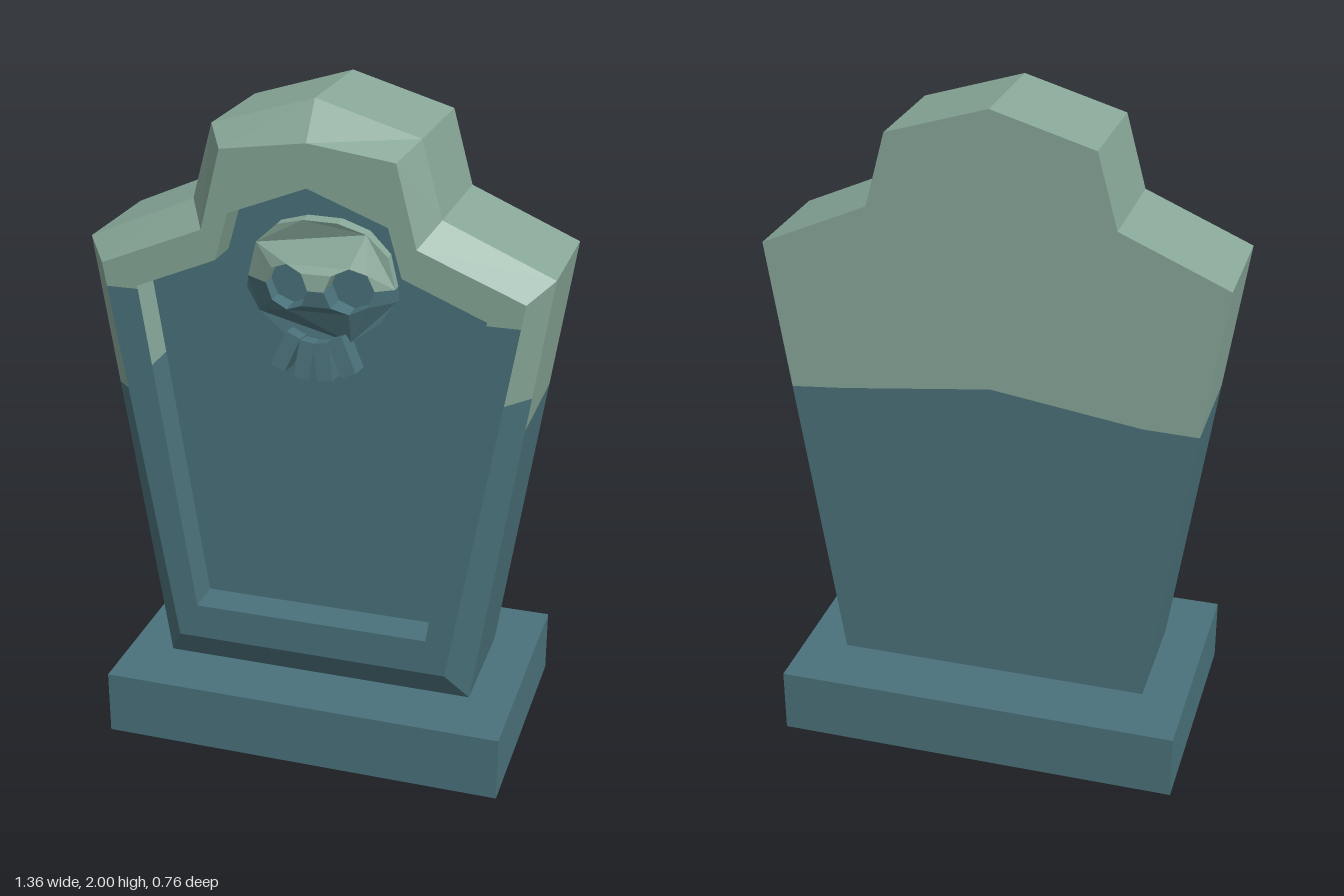
import * as THREE from 'three';

const stone = new THREE.MeshStandardMaterial({ color: 0x4b727b });
stone.name = 'slate stone';
const moss = new THREE.MeshStandardMaterial({ color: 0x88a899 });
moss.name = 'pale moss';

// Right half outlines, bottom to top, of the slab, its front rim and the sunken panel
const OUTER = [[0.48, 0.2], [0.68, 1.55], [0.36, 1.69], [0.3, 1.91], [0, 2]];
const RIM = [[0.42, 0.31], [0.615, 1.5], [0.31, 1.625], [0.25, 1.86], [0, 1.895]];
const INNER = [[0.36, 0.42], [0.51, 1.44], [0.27, 1.54], [0.23, 1.68], [0, 1.77]];

// Point on the slanted side edge of an outline at height y
function sideAt(half, y) {
  const [[x0, y0], [x1, y1]] = half;
  return [x0 + ((x1 - x0) * (y - y0)) / (y1 - y0), y];
}

// Closed mirrored loop at depth z, split on each side where the moss begins
function loop(half, z, splitR, splitL = splitR) {
  const right = [half[0], sideAt(half, splitR), ...half.slice(1)];
  const left = [half[0], sideAt(half, splitL), ...half.slice(1, -1)];
  const all = [...right, ...left.reverse().map(([x, y]) => [-x, y])];
  return all.map(([x, y]) => [x, y, z]);
}

function addMesh(group, name, geometry, material) {
  const mesh = new THREE.Mesh(geometry, material);
  mesh.name = name;
  group.add(mesh);
  return mesh;
}

// Band of quads between two loops: stone low down, moss above the splits
function addBand(group, name, a, b) {
  const parts = { stone: [], moss: [] };
  const n = a.length;
  for (let i = 0; i < n; i++) {
    const j = (i + 1) % n;
    const target = i === 0 || i >= n - 2 ? parts.stone : parts.moss;
    for (const p of [a[i], a[j], b[j], a[i], b[j], b[i]]) target.push(...p);
  }
  for (const [key, material] of [['stone', stone], ['moss', moss]]) {
    const g = new THREE.BufferGeometry();
    g.setAttribute('position', new THREE.Float32BufferAttribute(parts[key], 3));
    g.computeVertexNormals();
    addMesh(group, name + (key === 'moss' ? 'Moss' : ''), g, material);
  }
}

const toShape = (pts) => new THREE.Shape(pts.map(([x, y]) => new THREE.Vector2(x, y)));
const mirrored = (half) => [...half, ...half.slice(0, -1).reverse().map(([x, y]) => [-x, y])];

function createSlab() {
  const slab = new THREE.Group();
  slab.name = 'slab';
  addBand(slab, 'edge', loop(OUTER, -0.18, 1.1), loop(OUTER, 0.18, 1.1));
  addBand(slab, 'bevel', loop(OUTER, 0.18, 1.2, 1.1), loop(RIM, 0.26, 1.2, 1.12));
  addBand(slab, 'rim', loop(RIM, 0.26, 1.43), loop(INNER, 0.26, 1.43));
  addBand(slab, 'recessWall', loop(INNER, 0.26, 1.2), loop(INNER, 0.15, 1.2));

  const panel = addMesh(slab, 'panel', new THREE.ShapeGeometry(toShape(mirrored(INNER))), stone);
  panel.position.z = 0.15;

  // Back face, split along the wavy moss line
  const wave = [sideAt(OUTER, 1.1), [0.45, 1.115], [0, 1.17], [-0.45, 1.105]];
  const end = [-wave[0][0], 1.1];
  const lower = [OUTER[0], ...wave, end, [-OUTER[0][0], OUTER[0][1]]];
  const upper = [...mirrored(OUTER.slice(1)), end, ...wave.slice().reverse()];
  for (const [name, pts, material] of [['back', lower, stone], ['backMoss', upper, moss]]) {
    const flipped = pts.map(([x, y]) => [-x, y]);
    const mesh = addMesh(slab, name, new THREE.ShapeGeometry(toShape(flipped)), material);
    mesh.rotation.y = Math.PI;
    mesh.position.z = -0.18;
  }
  return slab;
}

// Half an octagonal eye socket, from its right corner to its left
const EYES = [0.115, -0.065];
const EYE_Y = 1.478;
function socket(cx, dir) {
  return [0, 1, 2, 3, 4].map((i) => {
    const a = ((dir * i) / 4) * Math.PI;
    return [cx + 0.067 * Math.cos(a), EYE_Y + 0.067 * Math.sin(a)];
  });
}

// Extruded relief whose front vertices follow a shallow dome
function relief(pts) {
  const g = new THREE.ExtrudeGeometry(toShape(pts), { depth: 1, bevelEnabled: false });
  const p = g.attributes.position;
  for (let i = 0; i < p.count; i++) {
    const r = Math.hypot(p.getX(i) - 0.015, p.getY(i) - EYE_Y) / 0.2;
    p.setZ(i, p.getZ(i) > 0.5 ? 0.265 - 0.07 * r * r : 0.14);
  }
  g.computeVertexNormals();
  return g;
}

function createSkull() {
  const skull = new THREE.Group();
  skull.name = 'skull';
  const cap = [[-0.2, EYE_Y], [-0.175, 1.58], [-0.11, 1.64], [-0.03, 1.662], [0.07, 1.66],
    [0.15, 1.632], [0.21, 1.57], [0.232, EYE_Y]];
  const face = [[-0.2, EYE_Y], [-0.205, 1.44], [-0.165, 1.38], [-0.08, 1.315], [0.11, 1.315],
    [0.195, 1.38], [0.235, 1.44], [0.232, EYE_Y]];
  addMesh(skull, 'cranium', relief([...cap, ...EYES.flatMap((x) => socket(x, 1))]), moss);
  addMesh(skull, 'face', relief([...face, ...EYES.flatMap((x) => socket(x, -1))]), stone);

  for (const x of EYES) {
    const floor = addMesh(skull, 'eyeSocket', new THREE.CircleGeometry(0.068, 8), stone);
    floor.position.set(x, EYE_Y, 0.18);
  }

  // Four splayed teeth
  for (const k of [-1.5, -0.5, 0.5, 1.5]) {
    const tooth = addMesh(skull, 'tooth', new THREE.BoxGeometry(0.045, 0.11, 0.08), stone);
    tooth.position.set(0.018 + k * 0.055, 1.285 - (Math.abs(k) < 1 ? 0.02 : 0), 0.222);
    tooth.rotation.set(-0.12, 0, k * 0.28);
  }
  return skull;
}

export function createModel() {
  const model = new THREE.Group();
  model.name = 'gravestone';
  const base = addMesh(model, 'base', new THREE.BoxGeometry(1.23, 0.2, 0.765), stone);
  base.position.y = 0.1;
  model.add(createSlab(), createSkull());
  return model;
}
